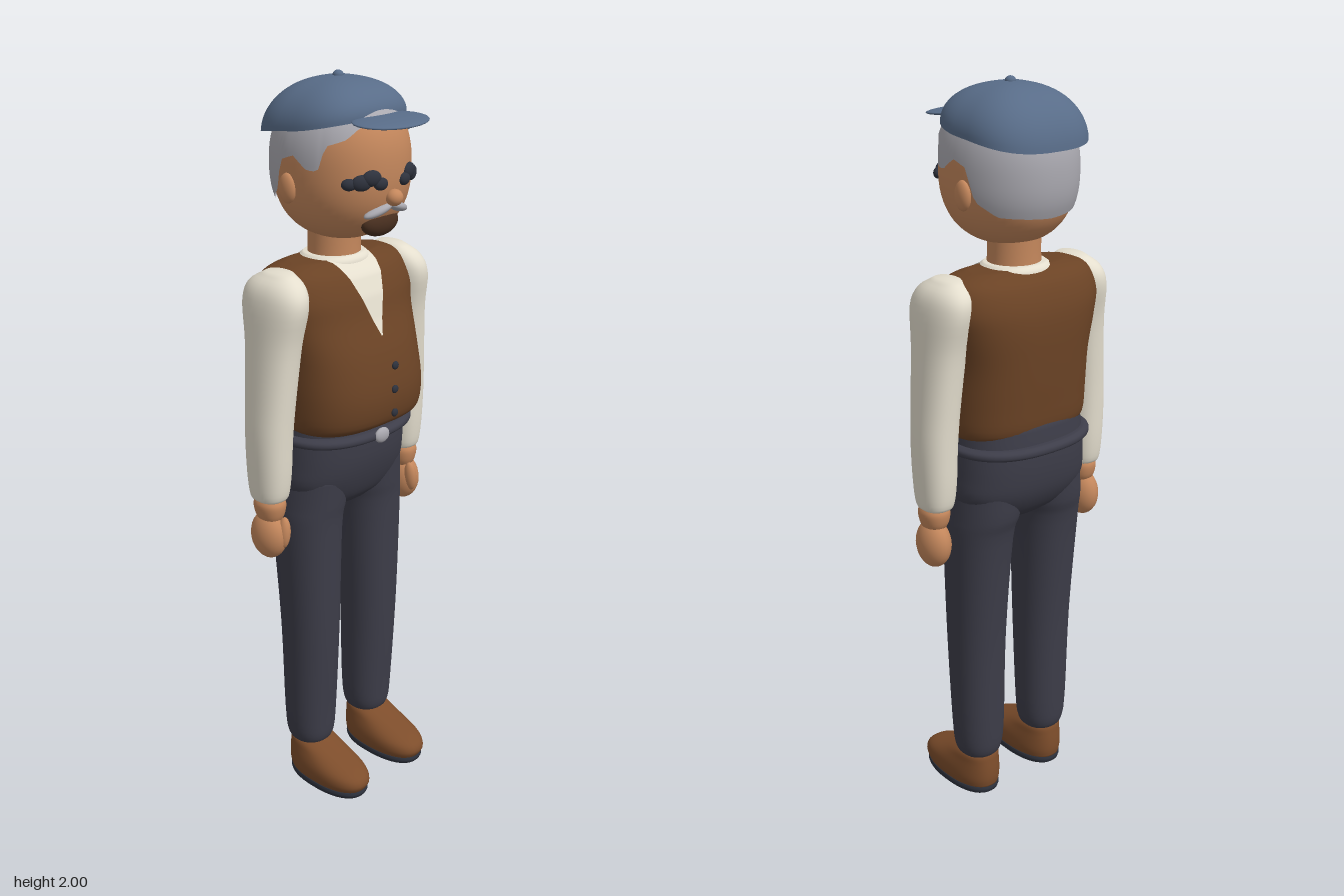
import * as THREE from 'three';

const mat = (name, color, side = THREE.FrontSide) => {
  const m = new THREE.MeshStandardMaterial({ color, side });
  m.name = name;
  return m;
};

// Grid surface from fn(u, v); wrap joins u = 1 to u = 0, caps close both ends
function surface(fn, nu, nv, wrap = true, caps = false) {
  const pos = [], idx = [], cols = wrap ? nu : nu + 1;
  for (let i = 0; i <= nv; i++)
    for (let j = 0; j < cols; j++) pos.push(...fn(j / nu, i / nv));
  for (let i = 0; i < nv; i++)
    for (let j = 0; j < nu; j++) {
      const k = (j + 1) % cols, a = i * cols + j, b = i * cols + k;
      idx.push(a, b, b + cols, a, b + cols, a + cols);
    }
  if (caps) for (const i of [0, nv]) {
    const c = [0, 0, 0], id = pos.length / 3;
    for (let j = 0; j < cols; j++)
      for (let k = 0; k < 3; k++) c[k] += pos[(i * cols + j) * 3 + k] / cols;
    pos.push(...c);
    for (let j = 0; j < cols; j++) {
      const a = i * cols + j, b = i * cols + (j + 1) % cols;
      idx.push(id, ...(i ? [a, b] : [b, a]));
    }
  }
  const g = new THREE.BufferGeometry();
  g.setAttribute('position', new THREE.Float32BufferAttribute(pos, 3));
  g.setIndex(idx);
  g.computeVertexNormals();
  return g;
}

// Superellipse point, angle 0 faces the front and turns towards +x
const spow = (v, p) => Math.sign(v) * Math.abs(v) ** p;
const oval = (a, rx, rz, n) => [rx * spow(Math.sin(a), 2 / n), rz * spow(Math.cos(a), 2 / n)];

// Smooth body through rings [y, centre x, half width, front z, back z], lowest first
function ringCurves(rings) {
  const curve = f => new THREE.CatmullRomCurve3(rings.map(f), false, 'catmullrom', 0.5);
  return [curve(r => new THREE.Vector3(r[1], r[0], (r[3] + r[4]) / 2)),
    curve(r => new THREE.Vector3(r[2], (r[3] - r[4]) / 2, 0))];
}
function loft(rings, n = 2.3, sides = 40) {
  const [centre, size] = ringCurves(rings);
  return surface((u, v) => {
    const c = centre.getPoint(v), s = size.getPoint(v);
    const [x, z] = oval(u * Math.PI * 2, s.x, s.y, n);
    return [c.x + x, c.y, c.z + z];
  }, sides, (rings.length - 1) * 4, true, true);
}

// Piecewise linear lookup in [[x, y], ...]
function lookup(table, x) {
  let i = 1;
  while (i < table.length - 1 && table[i][0] < x) i++;
  const [a, b] = [table[i - 1], table[i]];
  return a[1] + (b[1] - a[1]) * (x - a[0]) / (b[0] - a[0]);
}

// Head surface by angle and height
function headPoint(a, y, grow = 0) {
  const u = Math.min(1, Math.abs(y - 1.775) / 0.187);
  const r = (1 - u ** 2.4) ** (1 / 2.4);
  const [x, z] = oval(a, (0.164 + grow) * r, (0.178 + grow) * r, 2.15);
  return [x, y, z - 0.023];
}

export function createModel() {
  const model = new THREE.Group();
  model.name = 'manInCapAndVest';
  const skin = mat('skin', 0xc4875c), hairGrey = mat('hair grey', 0xaaa9b0, THREE.DoubleSide);
  const capBlue = mat('cap blue', 0x586c88, THREE.DoubleSide), vestBrown = mat('vest brown', 0x6b4325);
  const shirt = mat('shirt cream', 0xe4dece, THREE.DoubleSide), cloth = mat('trouser charcoal', 0x3d3d49);
  const leather = mat('shoe brown', 0x7d4d2b), dark = mat('dark trim', 0x2e323d);
  const beard = mat('beard brown', 0x4a3020);

  const add = (name, geo, material, parent = model) => {
    const m = new THREE.Mesh(geo, material);
    m.name = name;
    parent.add(m);
    return m;
  };
  const ball = (name, material, p, s, roll = 0) => {
    const m = add(name, new THREE.SphereGeometry(1, 24, 16), material);
    m.position.set(...p);
    m.scale.set(...s);
    m.rotation.z = roll;
    return m;
  };

  // Vest and shirt front
  const vestRings = [
    [1.1, 0, 0.185, 0.12, -0.16], [1.125, 0, 0.205, 0.148, -0.183], [1.2, 0, 0.208, 0.156, -0.19],
    [1.3, 0, 0.208, 0.135, -0.195], [1.39, 0, 0.222, 0.098, -0.196], [1.45, 0, 0.234, 0.08, -0.188],
    [1.5, 0, 0.222, 0.055, -0.167], [1.525, 0, 0.195, 0.028, -0.14], [1.538, 0, 0.14, 0, -0.11]];
  add('vest', loft(vestRings, 2.7, 56), vestBrown);
  const frontZ = (x, y) => {
    const at = k => lookup(vestRings.map(r => [r[0], r[k]]), y);
    const rz = (at(3) - at(4)) / 2;
    return (at(3) + at(4)) / 2 + rz * (1 - Math.abs(x / at(2)) ** 2.7) ** (1 / 2.7);
  };
  add('shirtFront', surface((u, v) => {
    const y = 1.35 + 0.188 * v, x = (u * 2 - 1) * (0.002 + 0.07 * v);
    return [x, y, frontZ(x, y) + 0.007];
  }, 10, 24, false), shirt);
  add('collar', loft([[1.5, 0, 0.1, 0.035, -0.14], [1.53, 0, 0.096, 0.032, -0.136],
    [1.545, 0, 0.08, 0.018, -0.122]]), shirt);
  for (const y of [1.15, 1.215, 1.28]) ball('vestButton', dark, [0, y, 0.168], [0.011, 0.011, 0.006]);

  // Trousers, belt and buckle
  add('hips', loft([[0.86, 0, 0.09, 0.03, -0.115], [0.89, 0, 0.16, 0.058, -0.15],
    [0.94, 0, 0.2, 0.08, -0.178], [1.0, 0, 0.2, 0.095, -0.19], [1.07, 0, 0.194, 0.1, -0.192],
    [1.14, 0, 0.185, 0.1, -0.185]], 2.5), cloth);
  add('belt', loft([[1.059, 0, 0.195, 0.11, -0.2], [1.067, 0, 0.21, 0.125, -0.213],
    [1.081, 0, 0.21, 0.125, -0.213], [1.089, 0, 0.195, 0.11, -0.2]], 2.4, 56), cloth);
  ball('buckle', hairGrey, [0, 1.074, 0.124], [0.026, 0.021, 0.011]);

  for (const s of [1, -1]) {
    const side = s > 0 ? 'left' : 'right';
    const limb = (name, rings, material, n) =>
      add(side + name, loft(rings.map(([y, x, ...r]) => [y, x * s, ...r]), n), material);

    limb('Leg', [[0.11, 0.117, 0.04, 0.005, -0.08], [0.135, 0.117, 0.062, 0.025, -0.1],
      [0.22, 0.117, 0.072, 0.032, -0.107], [0.5, 0.118, 0.078, 0.048, -0.115],
      [0.8, 0.117, 0.088, 0.055, -0.14], [0.88, 0.108, 0.093, 0.062, -0.158],
      [0.97, 0.1, 0.09, 0.07, -0.165]], cloth, 2.2);

    // Shoes
    limb('Sole', [[0, 0.117, 0.066, 0.165, -0.095], [0.01, 0.117, 0.069, 0.17, -0.098],
      [0.02, 0.117, 0.067, 0.168, -0.096]], dark, 2.3);
    limb('Shoe', [[0.018, 0.117, 0.066, 0.167, -0.096], [0.04, 0.117, 0.071, 0.176, -0.1],
      [0.065, 0.117, 0.07, 0.158, -0.1], [0.095, 0.117, 0.062, 0.085, -0.097],
      [0.12, 0.117, 0.054, 0.025, -0.092], [0.132, 0.117, 0.035, 0, -0.075]], leather, 2.3);

    // Arms and hands
    limb('Sleeve', [[0.922, 0.258, 0.03, -0.005, -0.075], [0.935, 0.257, 0.044, 0.013, -0.092],
      [1.0, 0.256, 0.051, 0.022, -0.1], [1.1, 0.255, 0.054, 0.027, -0.103],
      [1.2, 0.248, 0.055, 0.033, -0.107], [1.35, 0.234, 0.057, 0.045, -0.118],
      [1.45, 0.224, 0.058, 0.063, -0.137], [1.5, 0.215, 0.05, 0.045, -0.125],
      [1.53, 0.205, 0.025, 0, -0.08]], shirt, 2.3);
    limb('Wrist', [[0.865, 0.26, 0.026, -0.005, -0.067], [0.885, 0.259, 0.035, 0.004, -0.078],
      [0.912, 0.259, 0.039, 0.008, -0.082], [0.93, 0.258, 0.033, 0, -0.075]], skin, 2.2);
    ball(side + 'Hand', skin, [0.263 * s, 0.822, -0.038], [0.042, 0.067, 0.056]);
    ball(side + 'Thumb', skin, [0.251 * s, 0.835, 0.006], [0.017, 0.044, 0.019], 0.1 * s);

    // Ears, eyes and moustache halves
    ball(side + 'Ear', skin, [0.163 * s, 1.73, -0.05], [0.016, 0.038, 0.027]);
    const lumps = [[0.038, 1.752, 0.02, 0.016], [0.062, 1.768, 0.026, 0.02],
      [0.085, 1.758, 0.026, 0.02], [0.11, 1.755, 0.02, 0.015]];
    for (const [x, y, rx, ry] of lumps) {
      const p = headPoint(Math.asin(x / 0.164) * s, y);
      ball(side + 'EyeLump', dark, p, [rx, ry, 0.013]).rotation.y = s * x * 5;
    }
    ball(side + 'Moustache', hairGrey, [0.036 * s, 1.682, 0.136], [0.042, 0.012, 0.017], -0.3 * s)
      .rotation.y = 0.25 * s;
  }

  // Neck and head
  add('neck', loft([[1.49, 0, 0.074, 0.022, -0.122], [1.56, 0, 0.07, 0.018, -0.118],
    [1.65, 0, 0.07, 0.018, -0.118]], 2), skin);
  add('head', surface((u, v) =>
    headPoint(u * Math.PI * 2, 1.775 - 0.187 * Math.cos(Math.PI * (0.01 + 0.98 * v))),
  48, 32, true, true), skin);
  ball('nose', skin, [0, 1.713, 0.157], [0.023, 0.021, 0.021]);
  ball('beard', beard, [0, 1.645, 0.108], [0.062, 0.036, 0.028]);

  // Hair with sideburns, lower at the nape
  const hairline = [[0, 1.905], [32, 1.885], [45, 1.86], [62, 1.845], [68, 1.785], [78, 1.785],
    [90, 1.815], [102, 1.8], [110, 1.72], [130, 1.685], [180, 1.675]];
  add('hair', surface((u, v) => {
    const deg = Math.min(u, 1 - u) * 360, low = lookup(hairline, deg);
    return headPoint(u * Math.PI * 2, low + (1.925 - low) * v, 0.007);
  }, 96, 14), hairGrey);

  // Cap: dome with a rim that drops towards the back
  add('capDome', surface((u, v) => {
    const a = u * Math.PI * 2, t = v * 0.995 * Math.PI / 2;
    const rim = 1.87 + 0.03 * Math.cos(a), r = Math.cos(t) ** 0.92;
    const [x, z] = oval(a, 0.17 * r, 0.163 * r, 2.7);
    return [x, rim + (1.987 - rim) * Math.sin(t), z - 0.05 + 0.015 * v];
  }, 64, 18, true, false), capBlue);
  ball('capButton', capBlue, [0, 1.987, -0.034], [0.014, 0.012, 0.014]);
  ball('capVisor', capBlue, [0, 1.898, 0.142], [0.116, 0.01, 0.074]).rotation.x = 0.08;

  return model;
}
